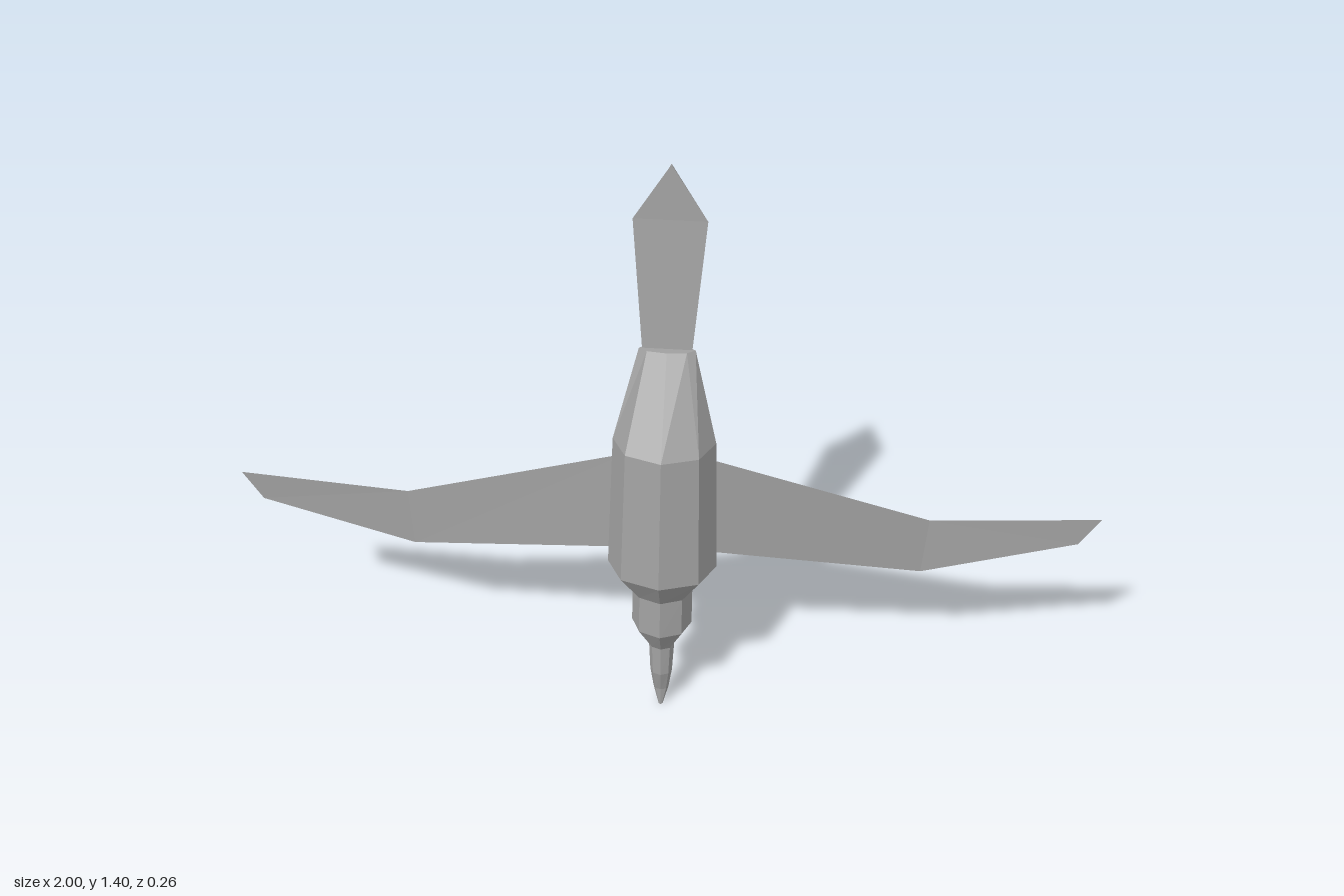
import * as THREE from 'three';

const grey = new THREE.MeshStandardMaterial({ color: 0xa0a0a0, flatShading: true });
grey.name = 'plumage grey';

// Joins a list of closed cross-sections into a faceted, capped solid
function loft(name, rings, flip = false) {
  const pos = [];
  const tri = (a, b, c) => pos.push(...a, ...(flip ? c : b), ...(flip ? b : c));
  const n = rings[0].length;
  for (let i = 0; i < rings.length - 1; i++) {
    for (let j = 0; j < n; j++) {
      const k = (j + 1) % n;
      const [a, b, c, d] = [rings[i][j], rings[i][k], rings[i + 1][k], rings[i + 1][j]];
      tri(a, b, c);
      tri(a, c, d);
    }
  }
  const first = rings[0], last = rings[rings.length - 1];
  for (let j = 1; j < n - 1; j++) {
    tri(first[0], first[j + 1], first[j]);
    tri(last[0], last[j], last[j + 1]);
  }
  const geometry = new THREE.BufferGeometry();
  geometry.setAttribute('position', new THREE.Float32BufferAttribute(pos, 3));
  geometry.computeVertexNormals();
  const mesh = new THREE.Mesh(geometry, grey);
  mesh.name = name;
  return mesh;
}

// Eight-sided ring: height, half width, back z, front z, forward tilt
function ring([y, halfWidth, back, front, tilt = 0]) {
  const points = [];
  for (let i = 0; i < 8; i++) {
    const a = (i * Math.PI) / 4;
    points.push([
      halfWidth * Math.sin(a),
      y + tilt * Math.cos(a),
      (front + back) / 2 + ((front - back) / 2) * Math.cos(a),
    ]);
  }
  return points;
}

// Tail section: flat belly side, bevelled back side
const tailRing = ([y, w, front, back]) => [
  [-w, y, front], [w, y, front], [w * 0.75, y, back], [-w * 0.75, y, back],
];

export function createModel() {
  const model = new THREE.Group();
  model.name = 'flyingBird';
  const bird = new THREE.Group();
  bird.name = 'bird';
  // slight roll
  bird.rotation.z = -0.01;
  bird.position.x = -0.006;
  model.add(bird);

  // Beak, tip at the bottom
  bird.add(loft('beak', [
    [0.002, 0.005, 0.013, 0.022],
    [0.05, 0.018, -0.006, 0.022],
    [0.11, 0.026, -0.012, 0.037],
    [0.19, 0.03, -0.02, 0.036],
  ].map(ring)));

  // Head and neck
  bird.add(loft('head', [
    [0.19, 0.03, -0.02, 0.036],
    [0.26, 0.07, -0.06, 0.08, 0.004],
    [0.36, 0.07, -0.06, 0.075, 0.004],
  ].map(ring)));

  // Body, narrowing to the rump
  bird.add(loft('body', [
    [0.36, 0.07, -0.06, 0.075, 0.004],
    [0.443, 0.125, -0.085, 0.13, 0.008],
    [0.775, 0.115, -0.1, 0.1, 0.007],
    [0.983, 0.062, -0.07, -0.035],
  ].map(ring)));

  // Tail
  bird.add(loft('tail', [
    [0.985, 0.055, -0.05, -0.066],
    [1.28, 0.08, -0.095, -0.111],
    [1.405, 0.001, -0.104, -0.109],
  ].map(tailRing)));

  // Wings: trailing edge, front leading edge, back leading edge, ridge
  for (const side of [1, -1]) {
    const sections = [
      [[0.09, 0.705, -0.038], [0.09, 0.445, -0.028], [0.09, 0.455, -0.045], [0.09, 0.62, -0.06]],
      [[0.61, 0.508, -0.11], [0.6, 0.36, -0.104], [0.6, 0.37, -0.121], [0.605, 0.46, -0.129]],
      [[1, 0.541, -0.105], [0.955, 0.467, -0.105], [0.957, 0.471, -0.109], [0.982, 0.515, -0.112]],
    ].map((s) => s.map(([x, y, z]) => [x * side, y, z]));
    bird.add(loft(side > 0 ? 'leftWing' : 'rightWing', sections, side < 0));
  }
  return model;
}
